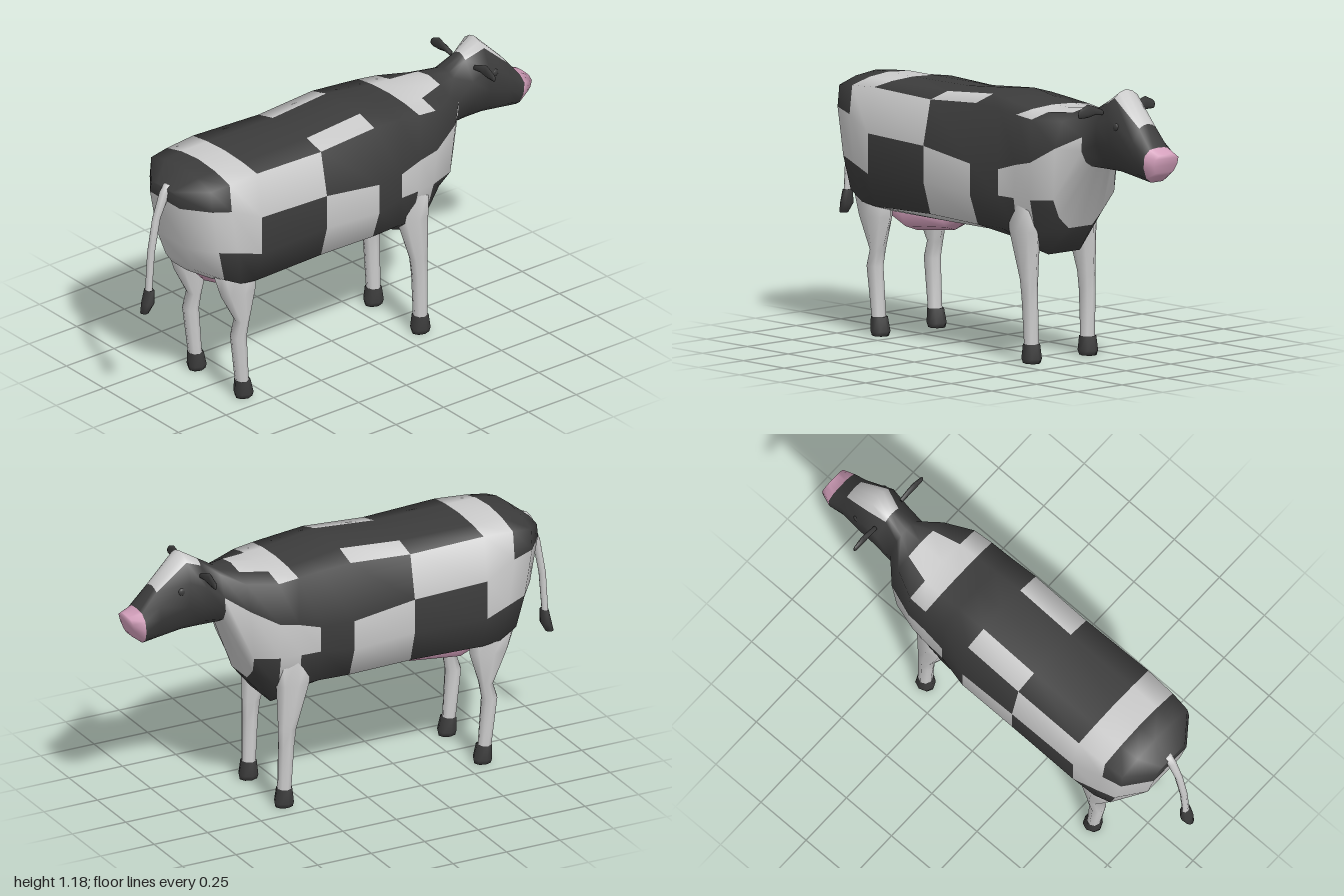
import * as THREE from 'three';

const materials = {
  w: new THREE.MeshStandardMaterial({ color: 0xcccccc }),
  d: new THREE.MeshStandardMaterial({ color: 0x3c3c3c }),
  p: new THREE.MeshStandardMaterial({ color: 0xd4a0bc }),
};
const coatNames = { w: 'Light', d: 'Dark', p: 'Pink' };

// Closed skin through rings of points. paint(segment, row) picks the colour;
// segment 0 is the start cap and the last one is the end cap.
function loft(name, rings, paint) {
  const n = rings[0].length;
  const faces = {};
  const all = [];
  const tri = (key, a, b, c) => {
    if (a === b || b === c || a === c) return;
    (faces[key] ??= []).push(a, b, c);
    all.push(a, b, c);
  };
  const quad = (key, a, b, c, d) => {
    tri(key, a, b, c);
    tri(key, a, c, d);
  };
  for (let i = 0; i < rings.length - 1; i++) {
    for (let j = 0; j < n; j++) {
      const a = i * n + j, b = i * n + (j + 1) % n;
      quad(paint(i + 1, Math.min(j, n - 1 - j)), a, b, b + n, a + n);
    }
  }
  const last = (rings.length - 1) * n;
  for (let j = 0; j < n / 2; j++) {
    const strip = [(n - j) % n, n - j - 1, j + 1, j];
    quad(paint(0, j), ...strip);
    quad(paint(rings.length, j), ...strip.reverse().map((k) => k + last));
  }
  const base = new THREE.BufferGeometry();
  base.setAttribute('position', new THREE.Float32BufferAttribute(rings.flat(2), 3));
  base.setIndex(all);
  base.computeVertexNormals();
  const group = new THREE.Group();
  group.name = name;
  for (const key in faces) {
    const g = base.clone();
    g.setIndex(faces[key]);
    const mesh = new THREE.Mesh(g, materials[key]);
    mesh.name = name + coatNames[key];
    group.add(mesh);
  }
  return group;
}

// Ring of n points, place(cos, sin) turning each angle into a point
const ring = (n, place) => Array.from({ length: n }, (_, i) => {
  const a = (i / n) * Math.PI * 2;
  return place(Math.cos(a), Math.sin(a));
});

// Cross-sections, rump to muzzle: zTop, zBottom,
// heights of top, edge, upper, middle, low, bottom, half widths of edge, upper, middle, low
const trunk = [
  [0.875, 0.80, 1.00, 0.99, 0.94, 0.74, 0.63, 0.61, 0.09, 0.10, 0.10, 0.09],
  [0.79, 0.72, 1.07, 1.03, 0.94, 0.74, 0.60, 0.57, 0.20, 0.21, 0.21, 0.20],
  [0.70, 0.64, 1.075, 1.04, 0.92, 0.72, 0.56, 0.53, 0.21, 0.225, 0.23, 0.21],
  [0.56, 0.56, 1.07, 1.05, 0.86, 0.69, 0.55, 0.52, 0.215, 0.25, 0.25, 0.21],
  [0.22, 0.22, 1.075, 1.04, 0.85, 0.70, 0.56, 0.52, 0.21, 0.25, 0.25, 0.21],
  [-0.06, -0.06, 1.10, 1.06, 0.81, 0.68, 0.55, 0.52, 0.21, 0.245, 0.245, 0.20],
  [-0.20, -0.20, 1.075, 1.05, 0.80, 0.69, 0.55, 0.50, 0.205, 0.215, 0.215, 0.19],
  [-0.30, -0.28, 1.06, 1.04, 0.83, 0.69, 0.54, 0.47, 0.205, 0.21, 0.21, 0.18],
  [-0.39, -0.37, 1.06, 1.03, 0.85, 0.69, 0.54, 0.45, 0.20, 0.21, 0.20, 0.16],
  [-0.51, -0.47, 1.075, 1.03, 0.92, 0.70, 0.62, 0.57, 0.14, 0.18, 0.17, 0.12],
];
const head = [
  [-0.59, -0.58, 1.08, 1.06, 0.97, 0.91, 0.86, 0.84, 0.06, 0.10, 0.10, 0.07],
  [-0.67, -0.68, 1.13, 1.11, 1.03, 0.95, 0.87, 0.84, 0.04, 0.095, 0.10, 0.06],
  [-0.75, -0.76, 1.18, 1.15, 1.07, 0.96, 0.87, 0.84, 0.065, 0.10, 0.10, 0.06],
  [-0.88, -0.87, 1.05, 1.035, 0.98, 0.92, 0.85, 0.825, 0.045, 0.08, 0.08, 0.06],
  [-0.95, -0.94, 0.96, 0.955, 0.93, 0.88, 0.835, 0.815, 0.05, 0.08, 0.08, 0.06],
  [-1.0, -0.985, 0.94, 0.935, 0.92, 0.89, 0.86, 0.85, 0.045, 0.065, 0.065, 0.05],
];
// Patches of the coat, one word per segment, rows from spine to belly
const coat = ('dddwwww dddwwww dddwdww wwwwdww ddwddww dwdwwww ddddddd dddwddd wwdwwdd '
  + 'wddwddd dddwwww ddddddd wwddddd wwddddd ddddddd ppppppp ppppppp').split(' ');

function bodyRing([z, zb, top, edge, up, mid, low, bot, we, wu, wm, wl]) {
  const zm = (z + zb) / 2;
  const half = [
    [0, top, z], [we * 0.54, top * 0.7 + edge * 0.3, z], [we, edge, z], [wu, up, z],
    [wm, mid, zm], [wl, low, zb], [wl * 0.55, bot, zb], [0, bot, zb],
  ];
  const mirrored = half.slice(1, -1).reverse().map(([x, y, zz]) => [-x, y, zz]);
  return [...half, ...mirrored];
}

// Downward limb: sections of y, centre x, centre z, radius x, radius z
const limb = (name, sections, side, colours) => loft(name,
  sections.map(([y, x, z, rx, rz]) => ring(8, (c, s) => [side * x + rx * c, y, z + rz * s])),
  (i) => colours[i]);

const frontLeg = [
  [0.68, 0.155, -0.30, 0.045, 0.09], [0.55, 0.157, -0.30, 0.05, 0.08], [0.35, 0.16, -0.33, 0.034, 0.042],
  [0.27, 0.16, -0.335, 0.032, 0.036], [0.08, 0.157, -0.342, 0.032, 0.03],
  [0.08, 0.157, -0.342, 0.036, 0.035], [0.02, 0.157, -0.343, 0.041, 0.044], [0, 0.157, -0.343, 0.033, 0.04],
];
const hindLeg = [
  [0.66, 0.155, 0.64, 0.055, 0.12], [0.50, 0.157, 0.615, 0.05, 0.09], [0.36, 0.16, 0.598, 0.036, 0.03],
  [0.29, 0.16, 0.615, 0.034, 0.036], [0.08, 0.157, 0.595, 0.032, 0.028],
  [0.08, 0.157, 0.592, 0.036, 0.034], [0.02, 0.157, 0.585, 0.041, 0.042], [0, 0.157, 0.585, 0.033, 0.038],
];
const tail = [
  [1.01, 0, 0.85, 0.02, 0.025], [0.98, 0, 0.875, 0.02, 0.025], [0.87, 0, 0.92, 0.016, 0.018],
  [0.72, 0, 0.948, 0.016, 0.016], [0.55, 0, 0.96, 0.017, 0.013], [0.55, 0, 0.957, 0.025, 0.018],
  [0.49, 0, 0.965, 0.031, 0.024], [0.45, 0, 0.982, 0.018, 0.018],
];

export function createModel() {
  const cow = new THREE.Group();
  cow.name = 'cow';

  cow.add(loft('body', [...trunk, ...head].map(bodyRing), (i, row) => coat[i][row]));

  // Udder: sections of z, top, bottom, half width
  const udder = [
    [0.76, 0.64, 0.60, 0.10], [0.67, 0.64, 0.50, 0.11], [0.53, 0.60, 0.43, 0.095],
    [0.30, 0.57, 0.46, 0.075], [0.20, 0.56, 0.52, 0.03],
  ].map(([z, t, b, w]) => ring(8, (c, s) => [w * s, (t + b) / 2 + (t - b) / 2 * c, z]));
  cow.add(loft('udder', udder, () => 'p'));

  cow.add(limb('tail', tail, 1, 'wwwwwdddd'));

  // Ear: sections of x, centre y, half height, half thickness
  const ear = [
    [0.08, 1.085, 0.012, 0.009], [0.12, 1.095, 0.018, 0.01], [0.16, 1.098, 0.028, 0.01],
    [0.205, 1.088, 0.018, 0.007], [0.212, 1.086, 0.012, 0.004],
  ].map(([x, y, h, t]) => ring(6, (c, s) => [x, y + h * c, t * s]));

  for (const side of [1, -1]) {
    const label = side > 0 ? 'left' : 'right';
    cow.add(limb(label + 'FrontLeg', frontLeg, side, 'wwwwwdddd'));
    cow.add(limb(label + 'HindLeg', hindLeg, side, 'wwwwwdddd'));

    const earGroup = loft(label + 'Ear', ear, () => 'd');
    earGroup.position.z = -0.69;
    earGroup.rotation.y = side > 0 ? 0 : Math.PI;
    cow.add(earGroup);

    const eye = new THREE.Mesh(new THREE.SphereGeometry(0.017, 12, 8), materials.d);
    eye.name = label + 'Eye';
    eye.scale.x = 0.5;
    eye.position.set(side * 0.09, 1.035, -0.785);
    cow.add(eye);
  }
  return cow;
}
